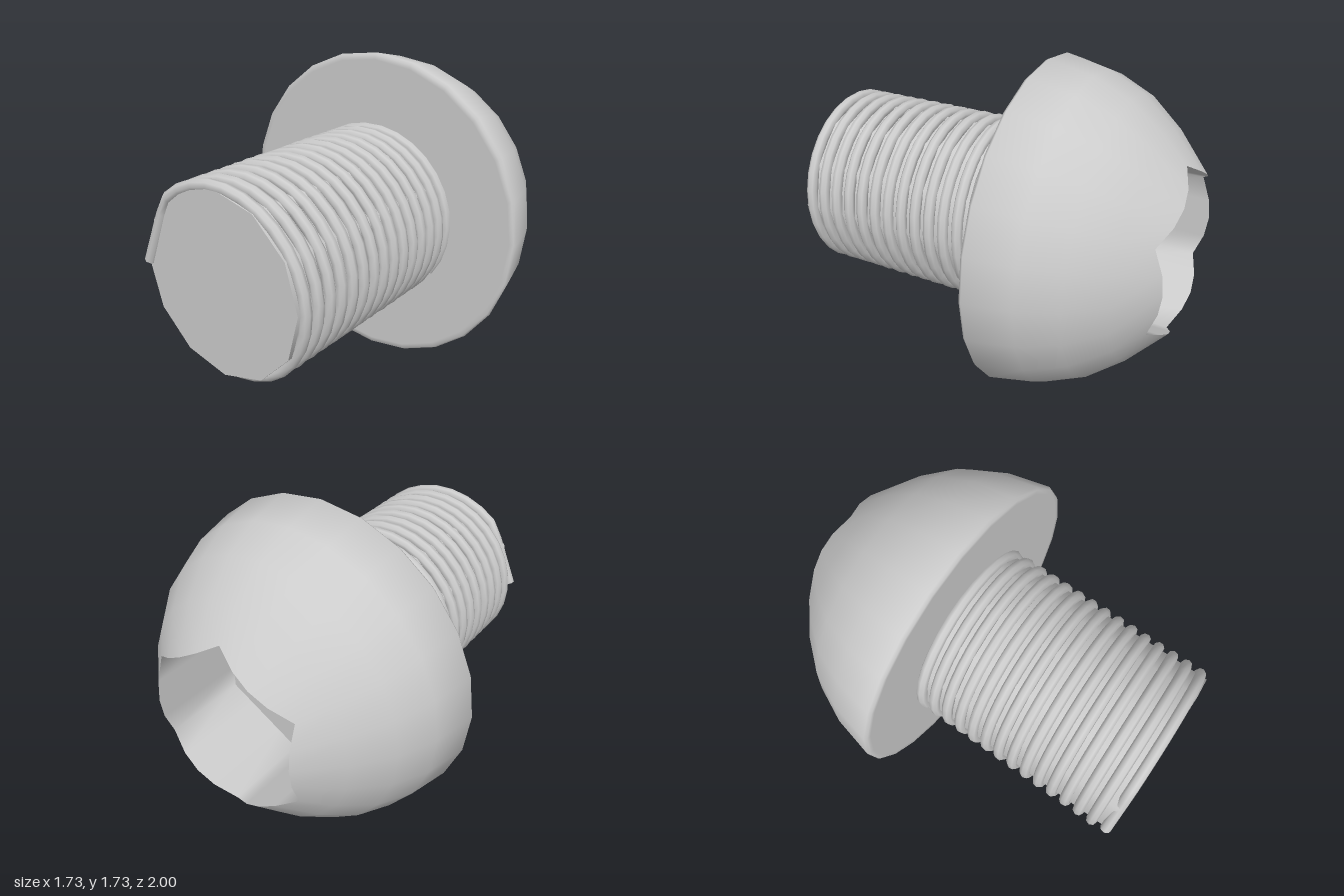
import * as THREE from 'three';
import { toCreasedNormals } from 'three/addons/utils/BufferGeometryUtils.js';

const SIDES = 24;
const material = new THREE.MeshStandardMaterial({ color: 0xcccccc, side: THREE.DoubleSide });

// Radius of the hexagonal socket at an angle (corners up and down, flats left and right)
function hexRadius(a) {
  const step = Math.PI / 3;
  return 0.4 / Math.cos(a - Math.round(a / step) * step);
}

// Domed head with its socket: rings from the underside, over the dome, into the socket
function headGeometry() {
  const profile = [[0, -0.215], [0.83, -0.215], [0.855, -0.215], [0.865, -0.23],
    [0.815, -0.46], [0.73, -0.65], [0.59, -0.825]];
  const rings = profile.map(([r, z]) => () => [r, z]);
  rings.push(a => [hexRadius(a), -1 + (hexRadius(a) - 0.4) * 0.92]); // socket rim on the dome
  rings.push(a => [hexRadius(a), -0.5]); // socket floor edge
  rings.push(() => [0, -0.5]);

  const point = (i, j) => {
    const a = (j % SIDES) / SIDES * Math.PI * 2;
    const [r, z] = rings[i](a);
    return [r * Math.cos(a), r * Math.sin(a), z];
  };
  const positions = [];
  for (let i = 0; i < rings.length - 1; i++) {
    for (let j = 0; j < SIDES; j++) {
      const a = point(i, j), b = point(i + 1, j), c = point(i + 1, j + 1), d = point(i, j + 1);
      if (i < rings.length - 2) positions.push(...a, ...b, ...c);
      if (i > 0) positions.push(...a, ...c, ...d);
    }
  }
  const geometry = new THREE.BufferGeometry();
  geometry.setAttribute('position', new THREE.Float32BufferAttribute(positions, 3));
  return toCreasedNormals(geometry, 1.13);
}

// Helical thread whose last stretch runs straight off the shank
class ThreadCurve extends THREE.Curve {
  getPoint(t, target = new THREE.Vector3()) {
    const turns = 14.6, pitch = 0.082, radius = 0.465, straight = 0.8;
    const back = (1 - t) * turns * Math.PI * 2; // angle left before the end
    const z = 0.97 - pitch * back / (Math.PI * 2);
    const at = b => [radius * Math.cos(Math.PI - b), radius * Math.sin(Math.PI - b)];
    if (back >= straight) return target.set(...at(back), z);
    const k = back / straight, p = at(straight), q = at(0);
    return target.set(q[0] + (p[0] - q[0]) * k, q[1] + (p[1] - q[1]) * k, z);
  }
}

export function createModel() {
  const model = new THREE.Group();
  model.name = 'buttonHeadBolt';
  const add = (name, geometry) => {
    const mesh = new THREE.Mesh(geometry, material);
    mesh.name = name;
    mesh.position.y = 0.865;
    model.add(mesh);
    return mesh;
  };

  add('head', headGeometry());

  // Twelve-sided shank
  const shank = new THREE.CylinderGeometry(0.462, 0.462, 1.2, 12);
  shank.rotateX(Math.PI / 2);
  shank.translate(0, 0, 0.375);
  add('shank', shank);

  // Thread and the cap on its free end
  const curve = new ThreadCurve();
  add('thread', new THREE.TubeGeometry(curve, 440, 0.029, 8));
  const cap = add('threadEnd', new THREE.CircleGeometry(0.029, 8));
  const end = curve.getPoint(1);
  cap.position.add(end);
  cap.lookAt(cap.position.clone().add(curve.getTangent(1)));

  return model;
}
